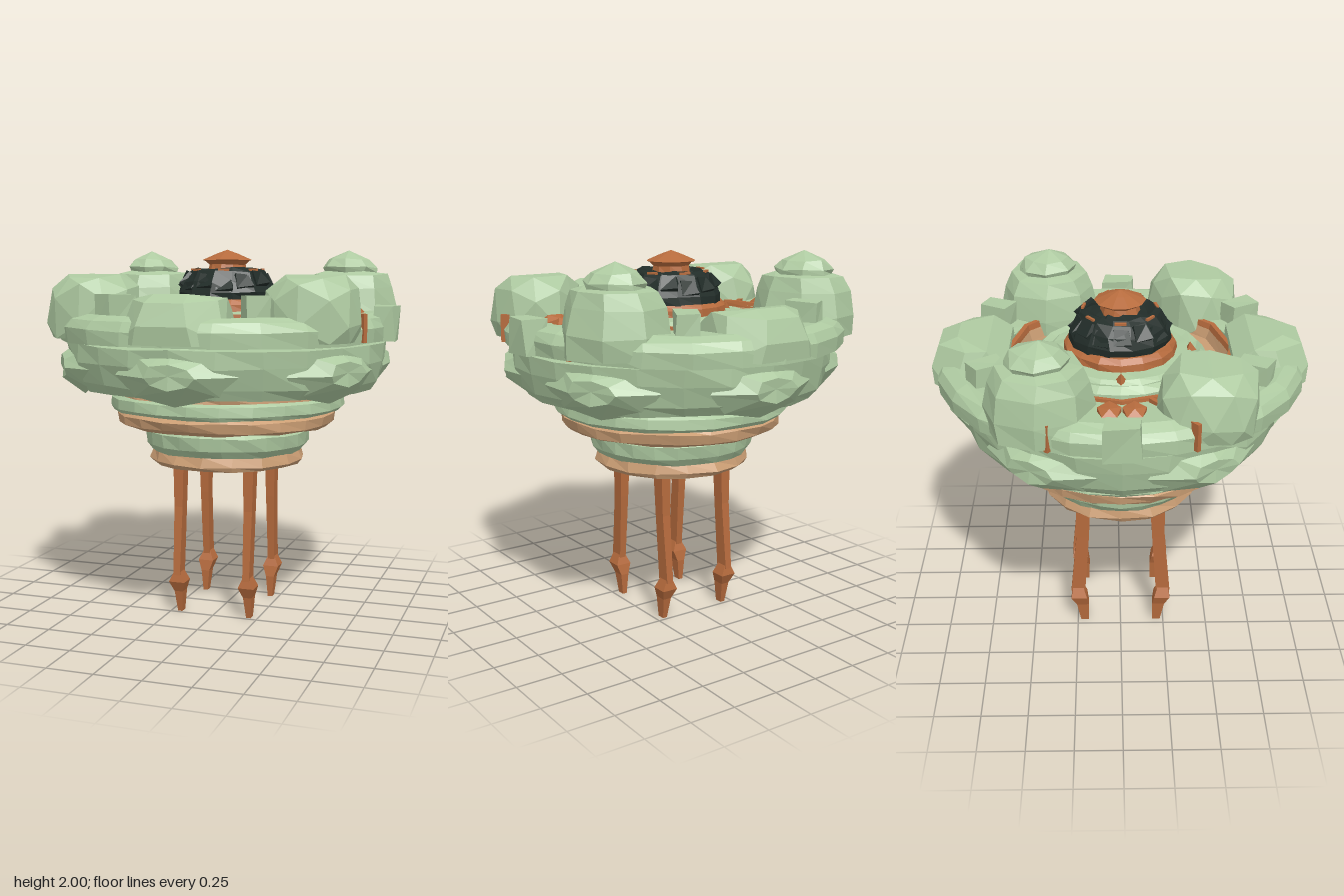
import * as THREE from 'three';
import { ConvexGeometry } from 'three/addons/geometries/ConvexGeometry.js';
import { mergeGeometries } from 'three/addons/utils/BufferGeometryUtils.js';

const mat = (name, color) => {
  const m = new THREE.MeshStandardMaterial({ color, flatShading: true });
  m.name = name;
  return m;
};

// Repeatable offset from a position, so coincident corners stay joined
const noise = (x, y, z, k) => {
  const q = v => Math.round(v * 500);
  const s = Math.sin(q(x) * 12.99 + q(y) * 78.23 + q(z) * 37.72 + k * 19.19) * 43758.5453;
  return (s - Math.floor(s)) * 2 - 1;
};

function roughen(geo, amount) {
  const p = geo.attributes.position;
  for (let i = 0; i < p.count; i++) {
    const x = p.getX(i), y = p.getY(i), z = p.getZ(i);
    p.setXYZ(i, x + noise(x, y, z, 1) * amount, y + noise(x, y, z, 2) * amount * 0.6, z + noise(x, y, z, 3) * amount);
  }
  geo.computeVertexNormals();
  return geo;
}

const vec = (x, y, z) => new THREE.Vector3(x, y, z);

// Chain of hulls through rectangles [y, z, halfX, halfZ]
function chain(rows) {
  const corners = ([y, z, a, b]) => [[-1, -1], [1, -1], [1, 1], [-1, 1]].map(([i, j]) => vec(i * a, y, z + j * b));
  return mergeGeometries(rows.slice(1).map((r, i) => new ConvexGeometry([...corners(rows[i]), ...corners(r)])));
}

export function createModel() {
  const green = mat('paleGreen', 0xaecaa1);
  const tan = mat('tan', 0xcb9e74);
  const rust = mat('rust', 0xb66b3d);
  const black = mat('charcoal', 0x222d29);

  const model = new THREE.Group();
  const add = (name, geo, material, x = 0, y = 0, z = 0, turn = 0) => {
    const mesh = new THREE.Mesh(geo, material);
    mesh.name = name;
    mesh.position.set(x, y, z);
    mesh.rotation.y = turn;
    model.add(mesh);
  };
  const revolve = (profile, sides) => new THREE.LatheGeometry(profile.map(([r, y]) => new THREE.Vector2(r, y)), sides);
  const lathe = (name, material, profile, sides = 24, rough = 0.006, sx = 1, sz = 1) =>
    add(name, roughen(revolve(profile, sides).scale(sx, 1, sz), rough), material);

  // Stepped lower hull
  lathe('baseFloor', tan, [[0, 0.865], [0.32, 0.865]], 16, 0);
  lathe('baseRim', rust, [[0.3, 0.87], [0.32, 0.835], [0.41, 0.835]], 16, 0.005);
  lathe('baseBand', tan, [[0.41, 0.835], [0.43, 0.86], [0.41, 0.915], [0.36, 0.92]], 16, 0.008);
  lathe('lowerCollar', green, [[0.35, 0.91], [0.42, 0.91], [0.45, 0.95], [0.46, 1.02], [0.44, 1.04], [0.4, 1.045]]);
  lathe('lowerGroove', rust, [[0.43, 1.03], [0.44, 1.06]]);
  lathe('middlePlate', green, [[0.42, 1.05], [0.57, 1.055]]);
  lathe('middleBand', tan, [[0.57, 1.055], [0.6, 1.07], [0.61, 1.12], [0.58, 1.14], [0.5, 1.145]], 24, 0.009);
  lathe('upperCollar', green, [[0.5, 1.14], [0.63, 1.14], [0.65, 1.16], [0.645, 1.21], [0.62, 1.225], [0.55, 1.225]]);
  lathe('upperBand', tan, [[0.56, 1.22], [0.62, 1.225], [0.62, 1.26]]);
  lathe('hullUnderside', rust, [[0.58, 1.255], [0.7, 1.262]]);
  lathe('hullBand', green, [[0.69, 1.265], [0.8, 1.26], [0.835, 1.31], [0.865, 1.42], [0.875, 1.51], [0.6, 1.515]], 24, 0.009);

  // Broad shallow bulges around the hull band
  for (let i = 0; i < 6; i++) {
    const geo = new THREE.CylinderGeometry(0.13, 0.32, 0.12, 8).rotateX(Math.PI / 2).scale(1, 0.48, 1);
    const a = i * Math.PI / 3;
    add('hullBulge', roughen(geo, 0.012), green, Math.sin(a) * 0.845, 1.385, Math.cos(a) * 0.845, a);
  }

  // Wide upper ring above a shadow seam
  lathe('ringUnderside', rust, [[0.6, 1.518], [0.945, 1.525]], 24, 0.002, 0.95, 1.025);
  lathe('upperRing', green, [[0.945, 1.525], [0.95, 1.6], [0.92, 1.645], [0.86, 1.67], [0.6, 1.655]], 24, 0.007, 0.95, 1.025);
  lathe('innerRim', rust, [[0.61, 1.62], [0.605, 1.672], [0.58, 1.672], [0.573, 1.64]], 12, 0.003);

  // Inner deck rings and the central dome
  lathe('deckSlope', tan, [[0.573, 1.642], [0.555, 1.585], [0.45, 1.605]], 12, 0.006);
  lathe('deckRing', green, [[0.47, 1.585], [0.465, 1.63], [0.43, 1.66], [0.39, 1.645], [0.37, 1.665], [0.29, 1.675]]);
  lathe('domeCollar', rust, [[0.3, 1.66], [0.295, 1.71], [0.27, 1.735], [0.22, 1.74]], 16);
  lathe('dome', black, [[0.265, 1.725], [0.27, 1.77], [0.245, 1.83], [0.205, 1.885], [0.17, 1.9], [0.15, 1.875], [0.08, 1.9]], 14, 0.012);
  lathe('capNeck', rust, [[0.11, 1.87], [0.1, 1.92], [0.12, 1.94]], 10, 0.004);
  lathe('cap', rust, [[0.08, 1.925], [0.135, 1.945], [0.06, 1.978], [0, 2]], 10, 0);
  for (let i = 0; i < 14; i++) {
    const a = (i + 0.5) * Math.PI / 7;
    const stone = roughen(new THREE.BoxGeometry(0.09, 0.08, 0.05), 0.014).rotateX(-0.6);
    add('domeBlock', stone, black, Math.sin(a) * 0.218, 1.805 + (i % 3) * 0.015, Math.cos(a) * 0.218, a);
    if (i % 2 === 0) {
      const chip = new THREE.BoxGeometry(0.06, 0.012, 0.014);
      add('domeChip', chip, rust, Math.sin(a) * 0.195, 1.892, Math.cos(a) * 0.195, a);
    }
  }
  for (let i = 0; i < 4; i++) {
    const a = i * Math.PI / 2;
    add('deckSpike', new THREE.ConeGeometry(0.035, 0.05, 3), rust, Math.sin(a) * 0.37, 1.68, Math.cos(a) * 0.37, a);
  }

  // Blocks at the front and back of the ring
  const block = [];
  for (const s of [-1, 1]) {
    block.push(vec(s * 0.24, 1.6, 0.57), vec(s * 0.22, 1.7, 0.58), vec(s * 0.23, 1.76, 0.68), vec(s * 0.22, 1.75, 0.79),
      vec(s * 0.28, 1.54, 0.86), vec(s * 0.09, 1.78, 0.84), vec(s * 0.1, 1.74, 0.94), vec(s * 0.13, 1.63, 0.98), vec(s * 0.15, 1.54, 0.97));
  }
  for (const turn of [0, Math.PI]) add('ringEndBlock', new ConvexGeometry(block), green, 0, 0, 0, turn);

  for (const s of [-1, 1]) {
    // Front boulders, flattened on top and cut diagonally toward the dome
    const ball = new THREE.IcosahedronGeometry(1, 1);
    const pts = [], p = ball.attributes.position;
    for (let i = 0; i < p.count; i++) {
      const n = [p.getX(i), p.getY(i), p.getZ(i)];
      const [x, y, z] = n.map((v, k) => Math.sign(v) * Math.abs(v) ** 0.85 * [0.26, 0.33, 0.26][k] + noise(...n, k) * 0.014);
      const cut = Math.max(0, -0.29 - x - z) / 2;
      pts.push(vec(s * (x + cut), Math.min(Math.max(y, -0.08), 0.25 - 0.12 * Math.max(0, z)), z + cut));
    }
    add('frontBoulder', new ConvexGeometry(pts), green, s * 0.59, 1.62, 0.42);

    // Back turrets with stepped pointed caps
    const turret = revolve([[0.27, 1.55], [0.275, 1.66], [0.25, 1.79], [0.215, 1.865], [0.15, 1.88],
      [0.155, 1.905], [0.12, 1.95], [0, 1.995]], 8);
    add('backTurret', roughen(turret, 0.011), green, s * 0.6, 0, -0.4);

    // Outer side block
    add('sideBlock', roughen(new THREE.BoxGeometry(0.12, 0.18, 0.17), 0.012), green, s * 0.88, 1.615, 0);

    for (const f of [-1, 1]) {
      // Small deck boxes, rust seams and rust nodules
      add('deckBox', roughen(new THREE.BoxGeometry(0.12, 0.16, 0.16), 0.008), green, s * 0.37, 1.69, f * 0.67, s * f * 0.5);
      add('ringSeam', new THREE.BoxGeometry(0.35, 0.145, 0.022), rust, s * 0.71, 1.605, f * 0.25, -s * f * 0.68);
      const nodule = new THREE.IcosahedronGeometry(0.08, 0).scale(0.95, 0.5, 0.85);
      add('rustNodule', nodule, rust, s * 0.685, 1.665, f * 0.06);

      // Thin bent legs with pointed feet
      const turn = f < 0 ? Math.PI : 0;
      const leg = chain([[0.87, 0.205, 0.03, 0.04], [0.6, 0.213, 0.024, 0.035], [0.22, 0.245, 0.019, 0.04]]);
      const foot = chain([[0.24, 0.245, 0.018, 0.03], [0.18, 0.24, 0.045, 0.045], [0.12, 0.22, 0.024, 0.035], [0, 0.21, 0.013, 0.022]]);
      add('leg', leg, rust, s * 0.2, 0, 0, turn);
      add('foot', foot, rust, s * 0.2, 0, 0, turn);
    }
  }

  // Pointed boss beneath the hull
  lathe('bossCollar', rust, [[0.13, 0.812], [0.14, 0.82], [0.13, 0.87]], 10, 0.003);
  lathe('bottomBoss', tan, [[0, 0.77], [0.07, 0.79], [0.13, 0.812]], 10, 0.003);
  return model;
}
